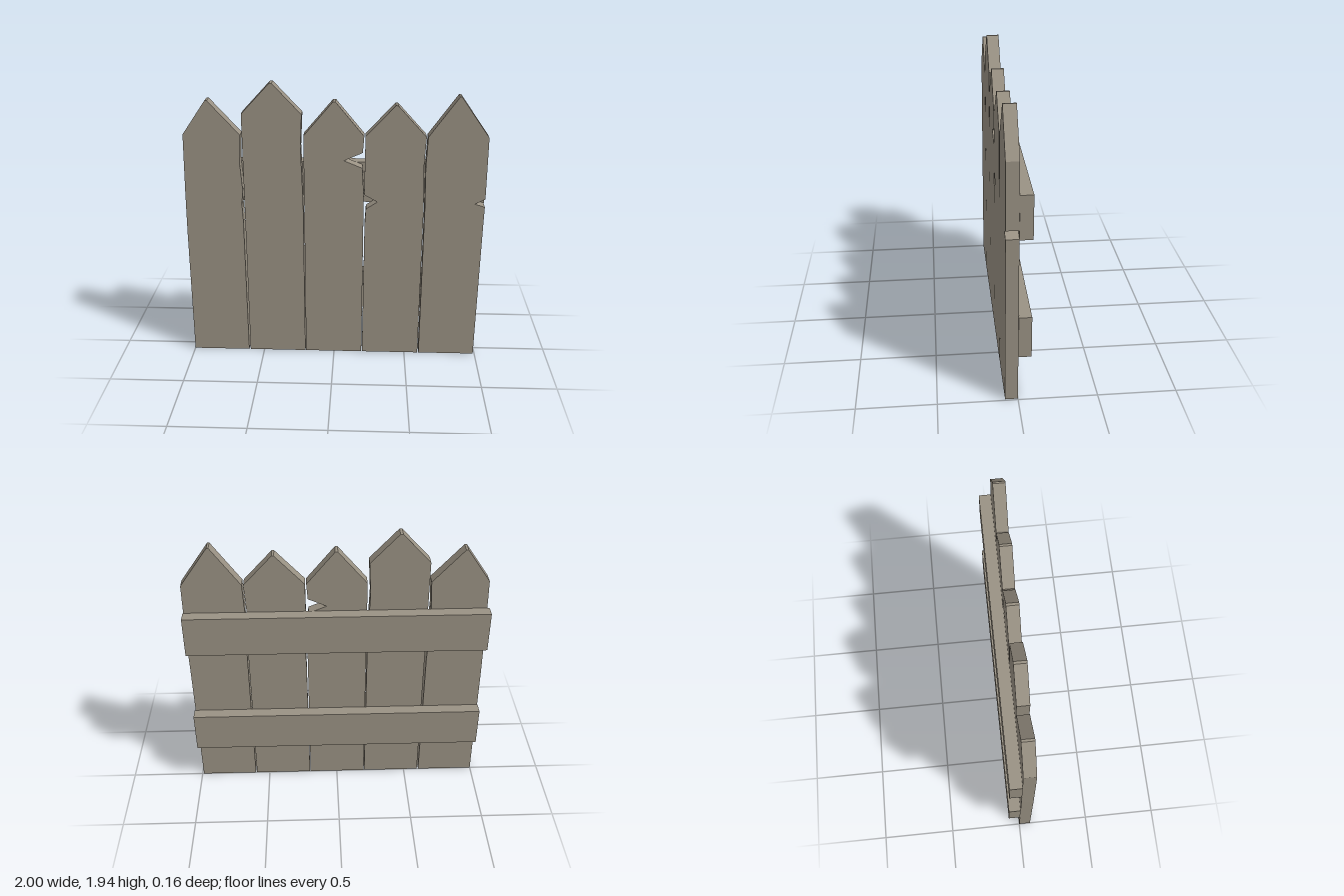
import * as THREE from 'three';

const wood = new THREE.MeshStandardMaterial({ color: 0x9a9284 });
wood.name = 'weatheredWood';

const THICK = 0.08;

// Outlines run counter-clockwise: bottom left, bottom right, up the right edge, tip, down the left edge
const PLANKS = {
  farRightPlank: [[-1, 0], [-0.61, 0], [-0.61, 1.0], [-0.615, 1.12], [-0.605, 1.22], [-0.617, 1.4], [-0.607, 1.6],
    [-0.81, 1.825], [-0.825, 1.825], [-0.98, 1.6], [-0.99, 1.2], [-0.995, 0.9]],
  rightPlank: [[-0.6, 0], [-0.205, 0], [-0.205, 1.1], [-0.21, 1.3], [-0.218, 1.52], [-0.207, 1.74],
    [-0.393, 1.94], [-0.41, 1.94], [-0.595, 1.74]],
  middlePlank: [[-0.2, 0], [0.195, 0], [0.197, 1.2], [0.185, 1.385], [0.065, 1.435], [0.187, 1.49], [0.195, 1.6],
    [0.01, 1.825], [-0.007, 1.825], [-0.197, 1.6]],
  leftPlank: [[0.2, 0], [0.595, 0], [0.595, 1.1], [0.585, 1.4], [0.595, 1.6],
    [0.407, 1.805], [0.393, 1.805], [0.203, 1.6], [0.2, 1.2], [0.288, 1.15], [0.212, 1.1], [0.205, 0.98]],
  farLeftPlank: [[0.603, 0], [0.99, 0], [0.995, 0.95], [0.997, 1.125], [0.93, 1.145], [0.997, 1.18], [0.993, 1.6],
    [0.805, 1.865], [0.793, 1.865], [0.605, 1.6], [0.597, 1.4], [0.603, 1.1]],
};

export function createModel() {
  const fence = new THREE.Group();
  fence.name = 'fence';

  // Upright pointed planks, some with splintered notches
  for (const [name, points] of Object.entries(PLANKS)) {
    const shape = new THREE.Shape(points.map(([x, y]) => new THREE.Vector2(x, y)));
    const plank = new THREE.Mesh(
      new THREE.ExtrudeGeometry(shape, { depth: THICK, bevelEnabled: false }), wood);
    plank.name = name;
    fence.add(plank);
  }

  // Two cross rails on the back
  for (const [name, y] of [['lowerRail', 0.46], ['upperRail', 1.26]]) {
    const rail = new THREE.Mesh(new THREE.BoxGeometry(2, 0.28, THICK), wood);
    rail.name = name;
    rail.position.set(0, y, -THICK / 2);
    fence.add(rail);
  }

  return fence;
}
